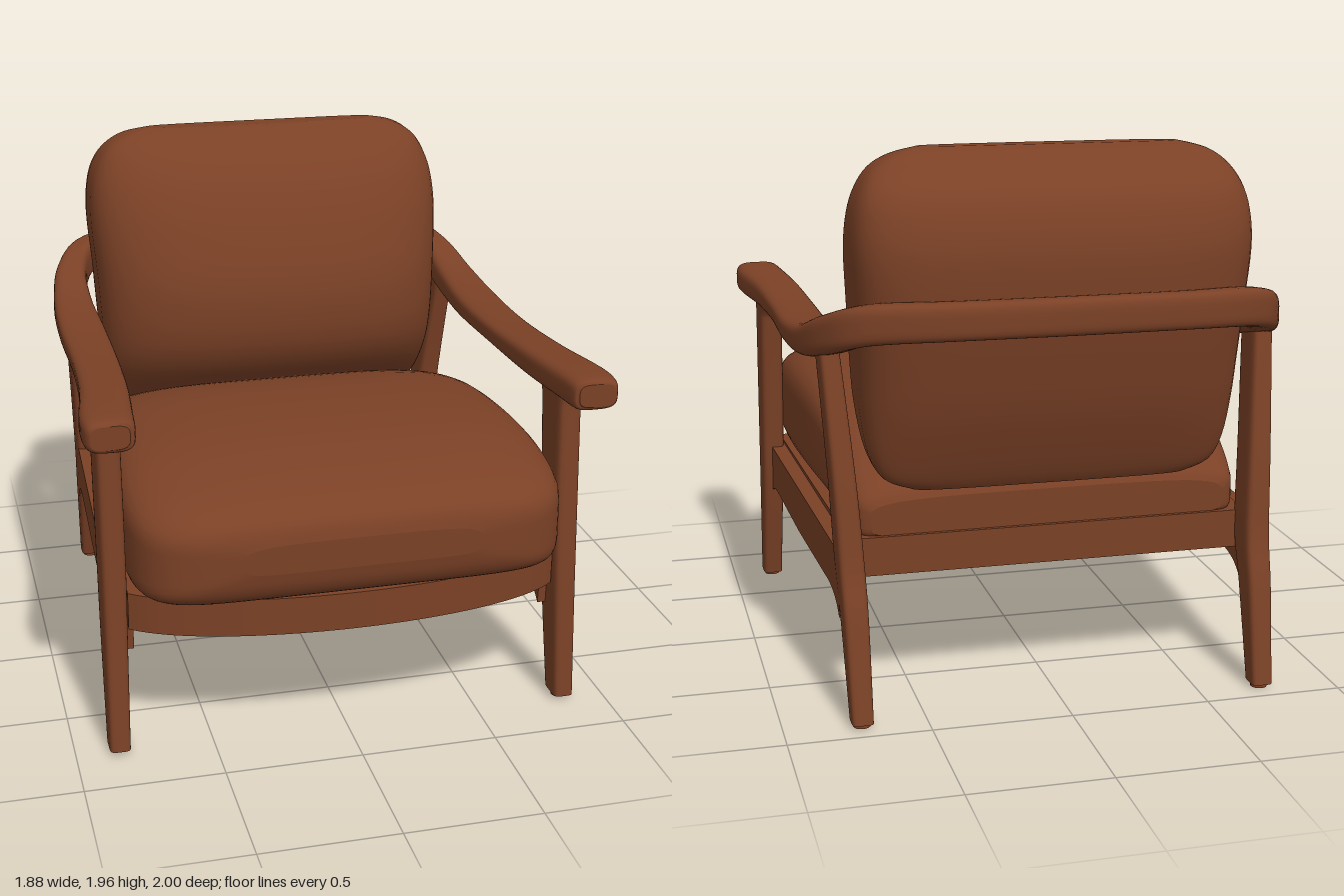
import * as THREE from 'three';

const V = (x, y, z) => new THREE.Vector3(x, y, z);

// Smoothly interpolate rows of numbers (Catmull-Rom), n steps between rows
function smooth(rows, n) {
  const out = [], last = rows.length - 1;
  for (let i = 0; i < last; i++) {
    const [a, b, c, d] = [Math.max(i - 1, 0), i, i + 1, Math.min(i + 2, last)].map(k => rows[k]);
    for (let s = 0; s < n; s++) {
      const t = s / n;
      out.push(b.map((_, k) => {
        const cubic = 3 * (b[k] - c[k]) + d[k] - a[k];
        const square = 2 * a[k] - 5 * b[k] + 4 * c[k] - d[k];
        return b[k] + 0.5 * t * (c[k] - a[k] + t * (square + t * cubic));
      }));
    }
  }
  out.push(rows[last]);
  return out;
}

// Rounded-square ring around c with half axes u and v; nLo / nHi set the squareness of the two halves
function ring(c, u, v, nLo, nHi = nLo, seg = 32) {
  const pts = [];
  for (let i = 0; i < seg; i++) {
    const a = ((i + 0.5) / seg) * Math.PI * 2, ca = Math.cos(a), sa = Math.sin(a);
    const e = 2 / (sa < 0 ? nLo : nHi);
    pts.push(c.clone()
      .addScaledVector(u, Math.sign(ca) * Math.abs(ca) ** e)
      .addScaledVector(v, Math.sign(sa) * Math.abs(sa) ** e));
  }
  return pts;
}

// Skin a list of rings and cap both ends, facing outwards
function loft(rings) {
  const seg = rings[0].length, pos = [], idx = [];
  rings.flat().forEach(p => pos.push(p.x, p.y, p.z));
  for (let r = 0; r < rings.length - 1; r++) for (let i = 0; i < seg; i++) {
    const j = (i + 1) % seg, a = r * seg + i, b = r * seg + j;
    idx.push(a, b, b + seg, a, b + seg, a + seg);
  }
  [rings[0], rings[rings.length - 1]].forEach((rg, end) => {
    const base = pos.length / 3;
    const mid = rg.reduce((s, p) => s.add(p), V(0, 0, 0)).divideScalar(seg);
    [...rg, mid].forEach(p => pos.push(p.x, p.y, p.z));
    for (let i = 0; i < seg; i++) {
      const a = base + i, b = base + (i + 1) % seg;
      if (end) idx.push(a, b, base + seg);
      else idx.push(b, a, base + seg);
    }
  });
  // flip the winding when the enclosed volume is negative
  const at = i => V(pos[3 * i], pos[3 * i + 1], pos[3 * i + 2]);
  let vol = 0;
  for (let i = 0; i < idx.length; i += 3) vol += at(idx[i]).dot(at(idx[i + 1]).cross(at(idx[i + 2])));
  if (vol < 0) idx.reverse();
  const g = new THREE.BufferGeometry();
  g.setAttribute('position', new THREE.Float32BufferAttribute(pos, 3));
  g.setIndex(idx);
  g.computeVertexNormals();
  return g;
}

// Tapered leg from rows of [y, x, z, half width, half depth]
function leg(rows, side) {
  return loft(smooth(rows, 4).map(([y, x, z, hx, hz]) => {
    return ring(V(side * x, y, z), V(hx, 0, 0), V(0, 0, hz), 5);
  }));
}

export function createModel() {
  const model = new THREE.Group();
  const brown = new THREE.MeshStandardMaterial({ color: 0x7b4126 });
  brown.name = 'chestnut brown';
  const add = (name, geometry) => {
    const m = new THREE.Mesh(geometry, brown);
    m.name = name;
    model.add(m);
    return m;
  };

  // Seat cushion: rows of [z, half width, bottom, top]
  const seat = [
    [1.0, 0.42, 0.75, 0.86], [0.985, 0.56, 0.69, 0.91], [0.95, 0.67, 0.64, 0.95], [0.88, 0.745, 0.61, 0.985],
    [0.76, 0.785, 0.6, 1.02], [0.55, 0.795, 0.6, 1.06], [0.3, 0.79, 0.6, 1.07], [0, 0.77, 0.6, 1.055],
    [-0.25, 0.745, 0.6, 1.0], [-0.45, 0.725, 0.59, 0.92], [-0.6, 0.71, 0.58, 0.83], [-0.67, 0.69, 0.585, 0.78],
    [-0.695, 0.65, 0.6, 0.74],
  ];
  const seatRings = smooth(seat, 4).map(([z, w, lo, hi]) => {
    return ring(V(0, (lo + hi) / 2, z), V(w, 0, 0), V(0, (hi - lo) / 2, 0), 7, 4, 48);
  });
  add('seatCushion', loft(seatRings));

  // Back cushion: rows of [y, half width, back z, front z]
  const back = [
    [0.77, 0.5, -0.72, -0.6], [0.81, 0.6, -0.745, -0.53], [0.9, 0.65, -0.785, -0.41], [1.05, 0.675, -0.84, -0.27],
    [1.2, 0.685, -0.88, -0.21], [1.4, 0.695, -0.92, -0.21], [1.6, 0.708, -0.93, -0.27], [1.73, 0.7, -0.905, -0.33],
    [1.82, 0.675, -0.86, -0.39], [1.89, 0.63, -0.785, -0.46], [1.935, 0.56, -0.735, -0.53], [1.96, 0.46, -0.67, -0.59],
  ];
  const backRings = smooth(back, 4).map(([y, w, lo, hi]) => {
    return ring(V(0, y, (lo + hi) / 2), V(w, 0, 0), V(0, 0, (hi - lo) / 2), 4.5, 2.8, 48);
  });
  add('backCushion', loft(backRings));

  // Arms and back rail in one sweep: rows of [x, y, z, half width, half height]
  const arm = [
    [0.85, 1.27, 0.925, 0.065, 0.042], [0.85, 1.27, 0.9, 0.085, 0.058], [0.845, 1.27, 0.78, 0.092, 0.06],
    [0.815, 1.265, 0.5, 0.086, 0.055], [0.8, 1.26, 0.15, 0.084, 0.045], [0.8, 1.26, -0.2, 0.086, 0.048],
    [0.8, 1.285, -0.5, 0.075, 0.058], [0.772, 1.345, -0.72, 0.06, 0.068], [0.67, 1.4, -0.87, 0.05, 0.068],
    [0.4, 1.415, -0.95, 0.045, 0.065],
  ];
  const mirrored = arm.map(([x, ...rest]) => [-x, ...rest]).reverse();
  const path = smooth([...arm, [0, 1.415, -0.955, 0.045, 0.065], ...mirrored], 5);
  const point = i => V(...path[Math.min(Math.max(i, 0), path.length - 1)].slice(0, 3));
  const armRings = path.map(([, , , w, h], i) => {
    const t = point(i + 1).sub(point(i - 1)).normalize();
    const across = t.clone().cross(V(0, 1, 0)).normalize();
    const up = across.clone().cross(t);
    return ring(point(i), across.multiplyScalar(w), up.multiplyScalar(h), 3.6);
  });
  add('armsAndBackRail', loft(armRings));

  // Seat base with a bowed front
  const base = new THREE.Shape();
  base.moveTo(-0.73, 0.71);
  base.lineTo(0.73, 0.71);
  base.lineTo(0.79, -0.74);
  base.bezierCurveTo(0.5, -0.98, -0.5, -0.98, -0.79, -0.74);
  const baseGeo = new THREE.ExtrudeGeometry(base, { depth: 0.14, bevelEnabled: false, curveSegments: 32 });
  baseGeo.rotateX(-Math.PI / 2).translate(0, 0.47, 0);
  add('seatBase', baseGeo);

  // Side rail profile with flared ends, drawn along -z
  const rail = new THREE.Shape();
  rail.moveTo(-0.7, 0.6);
  rail.lineTo(-0.68, 0.36);
  rail.quadraticCurveTo(-0.62, 0.44, -0.48, 0.435);
  rail.lineTo(0, 0.42);
  rail.lineTo(0.58, 0.425);
  rail.quadraticCurveTo(0.72, 0.42, 0.77, 0.35);
  rail.lineTo(0.79, 0.59);

  for (const side of [1, -1]) {
    const label = side > 0 ? 'left' : 'right';
    // Side rails follow the legs inwards towards the back
    const railGeo = new THREE.ExtrudeGeometry(rail, { depth: 0.08, bevelEnabled: false, curveSegments: 8 });
    railGeo.rotateY(Math.PI / 2);
    const p = railGeo.attributes.position;
    for (let i = 0; i < p.count; i++) p.setX(i, p.getX(i) - 0.04 + side * (0.775 + 0.045 * p.getZ(i)));
    railGeo.computeVertexNormals();
    add(label + 'SideRail', railGeo);

    add(label + 'FrontLeg', leg([
      [0.018, 0.842, 0.75, 0.038, 0.058], [0.4, 0.838, 0.7, 0.042, 0.083], [0.7, 0.835, 0.675, 0.045, 0.09],
      [1.1, 0.835, 0.642, 0.045, 0.1], [1.18, 0.835, 0.632, 0.045, 0.107], [1.24, 0.835, 0.61, 0.045, 0.135],
    ], side));
    add(label + 'BackLeg', leg([
      [0.018, 0.73, -0.905, 0.038, 0.046], [0.36, 0.735, -0.825, 0.044, 0.068], [0.55, 0.74, -0.765, 0.046, 0.078],
      [0.85, 0.755, -0.725, 0.043, 0.076], [1.3, 0.785, -0.64, 0.036, 0.076],
    ], side));

    // Foot glides
    for (const [name, x, z] of [['FrontFoot', 0.842, 0.75], ['BackFoot', 0.73, -0.905]]) {
      const foot = add(label + name, new THREE.CylinderGeometry(0.03, 0.03, 0.024, 16));
      foot.position.set(side * x, 0.012, z);
    }
  }
  return model;
}
